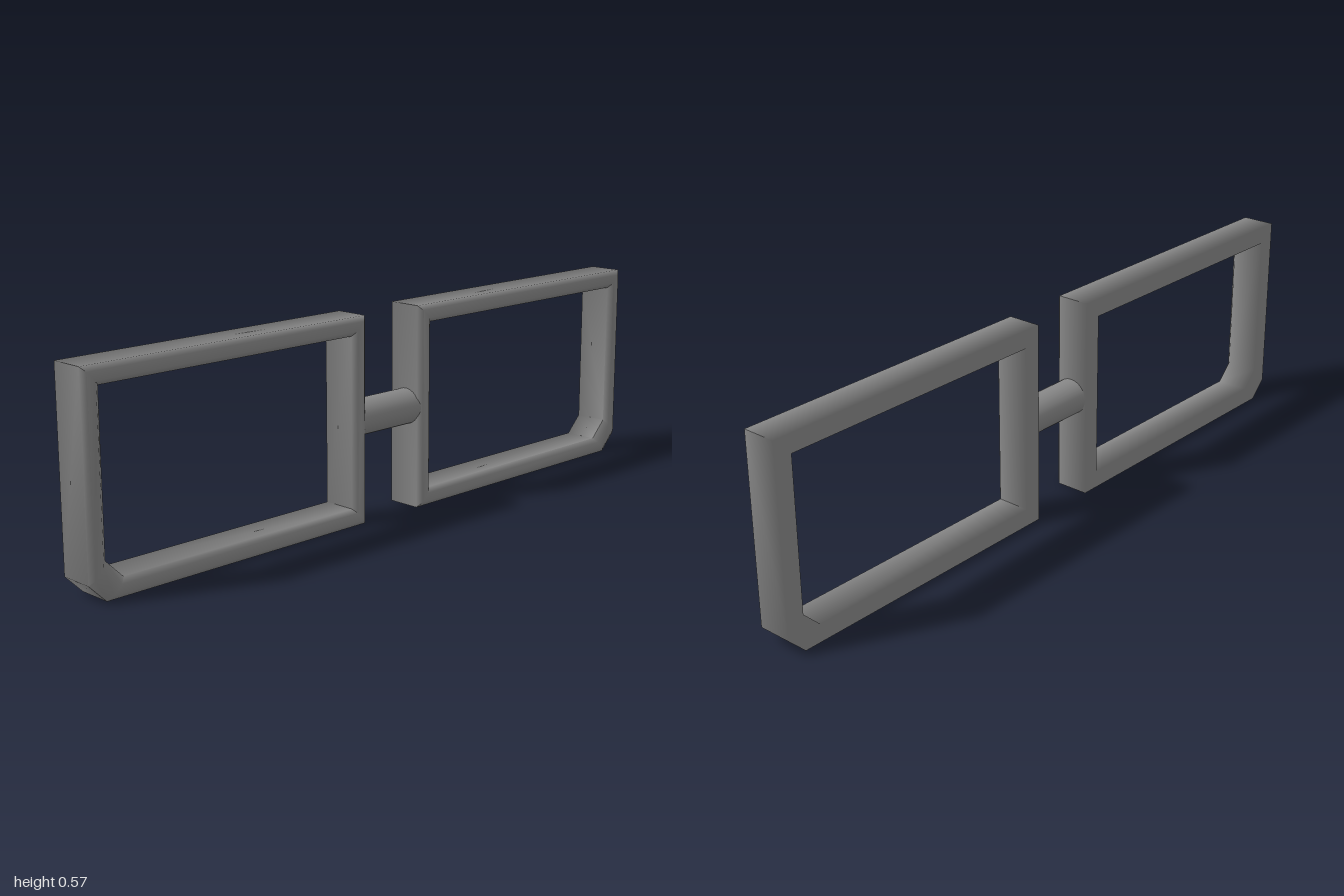
import * as THREE from 'three';
import { toCreasedNormals } from 'three/addons/utils/BufferGeometryUtils.js';

const T = 0.05;      // bar width
const C = 0.05;      // corner chamfer
const H = 0.57;      // frame height
const X0 = 0.1, X1 = 1;
const BACK = -0.054, BEVEL = 0.042, FRONT = 0.054;

// bar cross-section: [0 = outer edge .. 1 = inner edge, z], bevelled at the front
const section = [
  [0, BACK], [0, BEVEL], [0.26, FRONT],
  [0.74, FRONT], [1, BEVEL], [1, BACK],
];

// rectangle with its lower outside corner cut, inset by t
const outline = (t) => [
  [X0 + t, t], [X1 - t - C, t], [X1 - t, t + C], [X1 - t, H - t], [X0 + t, H - t],
];

function frameGeometry(side) {
  const outer = outline(0), inner = outline(T);
  const n = outer.length, m = section.length;
  const positions = [], index = [];
  for (let k = 0; k < n; k++) {
    for (const [s, z] of section) {
      positions.push(
        side * THREE.MathUtils.lerp(outer[k][0], inner[k][0], s),
        THREE.MathUtils.lerp(outer[k][1], inner[k][1], s),
        z,
      );
    }
    for (let j = 0; j < m; j++) {
      const k2 = (k + 1) % n, j2 = (j + 1) % m;
      const a = k * m + j, b = k2 * m + j, c = k2 * m + j2, d = k * m + j2;
      if (side > 0) index.push(a, b, c, a, c, d);
      else index.push(a, c, b, a, d, c);
    }
  }
  const indexed = new THREE.BufferGeometry();
  indexed.setAttribute('position', new THREE.Float32BufferAttribute(positions, 3));
  indexed.setIndex(index);
  // bevels and the cut corner blend smoothly, square corners stay sharp
  const geometry = toCreasedNormals(indexed, THREE.MathUtils.degToRad(50));
  // the sides blend softly into the flat back
  const { position, normal } = geometry.attributes;
  for (let i = 0; i < position.count; i++) {
    if (position.getZ(i) < BACK + 0.001) normal.setXYZ(i, 0, 0, -1);
  }
  return geometry;
}

export function createModel() {
  const group = new THREE.Group();
  const material = new THREE.MeshStandardMaterial({ color: 0x888888 });
  const add = (name, geometry) => {
    const mesh = new THREE.Mesh(geometry, material);
    mesh.name = name;
    group.add(mesh);
    return mesh;
  };

  // mirrored pair of rims
  add('leftFrame', frameGeometry(1));
  add('rightFrame', frameGeometry(-1));

  // round bar joining the rims
  const bridge = add('bridge', new THREE.CylinderGeometry(0.05, 0.05, 0.23, 32));
  bridge.rotation.z = Math.PI / 2;
  bridge.position.y = H / 2;

  return group;
}
